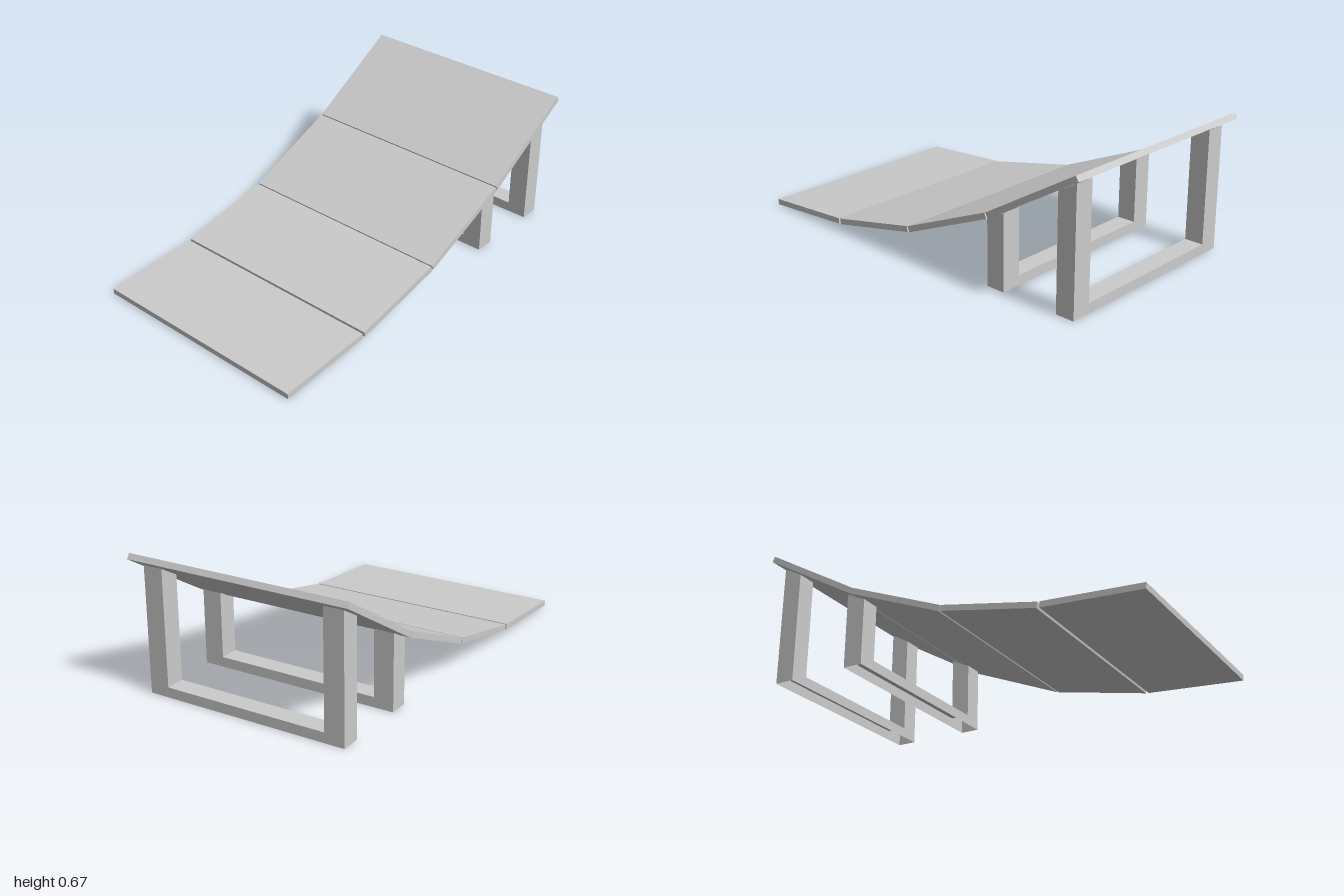
import * as THREE from 'three';

const material = new THREE.MeshStandardMaterial({ color: 0xcccccc, side: THREE.DoubleSide });
const DEPTH = 1.14, THICK = 0.029;
const OUTER = 0.52, INNER = 0.42, BAR = 0.05;

// Flat board whose upper surface runs from (x0, y0) to (x1, y1)
function makePanel([x0, y0, x1, y1]) {
  const length = Math.hypot(x1 - x0, y1 - y0);
  const geometry = new THREE.BoxGeometry(length, THICK, DEPTH);
  geometry.translate(length / 2, -THICK / 2, 0);
  const panel = new THREE.Mesh(geometry, material);
  panel.position.set(x0, y0, 0);
  panel.rotation.z = Math.atan2(y1 - y0, x1 - x0);
  return panel;
}

// U-shaped side sheet of a support, facing +x or -x
function makeSheet(x, top, facing) {
  const shape = new THREE.Shape([
    [-OUTER, 0], [OUTER, 0], [OUTER, top], [INNER, top],
    [INNER, BAR], [-INNER, BAR], [-INNER, top], [-OUTER, top],
  ].map(([u, v]) => new THREE.Vector2(u, v)));
  const geometry = new THREE.ShapeGeometry(shape);
  geometry.rotateY(facing * Math.PI / 2);
  geometry.translate(x, 0, 0);
  return new THREE.Mesh(geometry, material);
}

// Walls joining the two sheets; the underside stays open
function makeWalls(x0, top0, x1, top1) {
  const edges = [
    [OUTER, 0, OUTER, 'top'], [INNER, 'top', INNER, BAR], [INNER, BAR, -INNER, BAR],
    [-INNER, BAR, -INNER, 'top'], [-OUTER, 'top', -OUTER, 0],
  ];
  const positions = [];
  for (const [za, ya, zb, yb] of edges) {
    const at = (x, top, y, z) => [x, y === 'top' ? top : y, z];
    const a0 = at(x0, top0, ya, za), a1 = at(x1, top1, ya, za);
    const b0 = at(x0, top0, yb, zb), b1 = at(x1, top1, yb, zb);
    positions.push(...a0, ...a1, ...b1, ...a0, ...b1, ...b0);
  }
  const geometry = new THREE.BufferGeometry();
  geometry.setAttribute('position', new THREE.Float32BufferAttribute(positions, 3));
  geometry.computeVertexNormals();
  return new THREE.Mesh(geometry, material);
}

// Hollow U-shaped stand with sloping leg tops
function makeSupport(x0, top0, x1, top1) {
  const support = new THREE.Group();
  const parts = {
    innerSheet: makeSheet(x0, top0, -1),
    outerSheet: makeSheet(x1, top1, 1),
    legAndBarWalls: makeWalls(x0, top0, x1, top1),
  };
  for (const [name, mesh] of Object.entries(parts)) {
    mesh.name = name;
    support.add(mesh);
  }
  return support;
}

export function createModel() {
  const model = new THREE.Group();
  model.name = 'curvedLounger';

  // Four boards, each steeper than the last
  [
    [-1, 0.033, -0.511, 0.065],
    [-0.5, 0.066, -0.015, 0.167],
    [-0.009, 0.168, 0.483, 0.375],
    [0.488, 0.377, 0.985, 0.674],
  ].forEach((ends, i) => {
    const panel = makePanel(ends);
    panel.name = `panel${i + 1}`;
    model.add(panel);
  });

  // Low and tall stands under the raised end
  const lowSupport = makeSupport(0.453, 0.331, 0.55, 0.377);
  lowSupport.name = 'lowSupport';
  const tallSupport = makeSupport(0.854, 0.562, 0.951, 0.617);
  tallSupport.name = 'tallSupport';
  model.add(lowSupport, tallSupport);
  return model;
}
